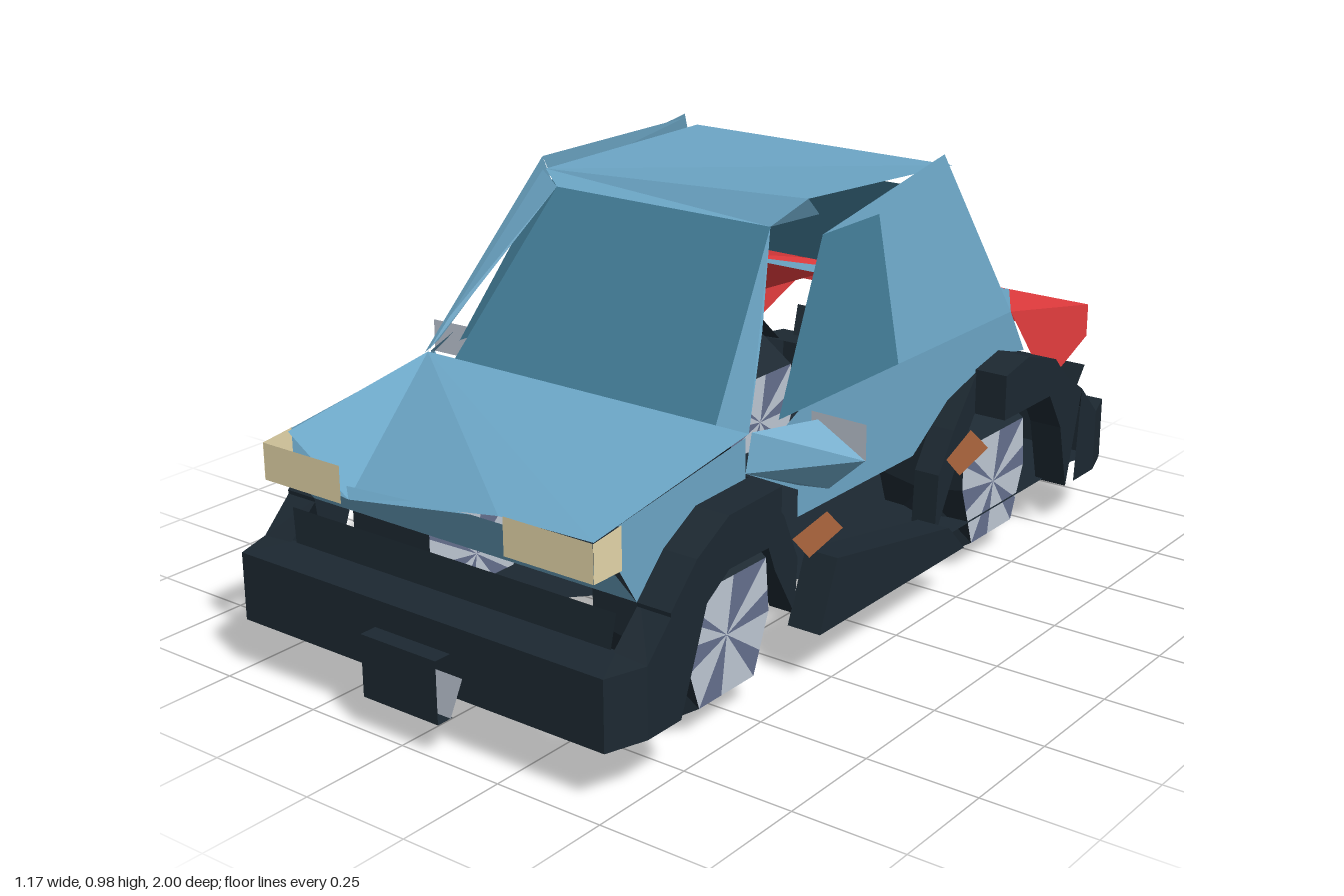
import * as THREE from 'three';

const mat = (name, color) => {
  const m = new THREE.MeshStandardMaterial({ color, flatShading: true, side: THREE.DoubleSide });
  m.name = name;
  return m;
};

export function createModel() {
  const car = new THREE.Group();
  car.name = 'car';
  const blue = mat('body blue', 0x6ca6c6), glass = mat('glass teal', 0x417a94);
  const dark = mat('trim black', 0x1c2831), red = mat('tail red', 0xee3f41);
  const cream = mat('headlight cream', 0xe4d6a9), grey = mat('metal grey', 0xbec7d4);
  const slate = mat('hub slate', 0x65708e), amber = mat('marker amber', 0xb0683f);

  const add = (name, geo, m, parent = car) => {
    const mesh = new THREE.Mesh(geo, m);
    mesh.name = name;
    parent.add(mesh);
  };
  const fromTriangles = (pts) => {
    const g = new THREE.BufferGeometry();
    g.setAttribute('position', new THREE.Float32BufferAttribute(pts.flat(), 3));
    g.computeVertexNormals();
    return g;
  };
  // Flat panel from a convex loop of corners
  const panel = (name, m, ...p) => {
    const tris = [];
    for (let i = 1; i < p.length - 1; i++) tris.push(p[0], p[i], p[i + 1]);
    add(name, fromTriangles(tris), m);
  };
  // Side panel from a [z, y] outline, leaning inward above the waistline
  const sidePanel = (name, m, s, outline, out = 0) => {
    const v = outline.map(([z, y]) => new THREE.Vector2(z, y));
    const at = ([z, y]) => [s * (0.43 + out - Math.max(0, y - 0.58) * 0.18), y, z];
    const tris = THREE.ShapeUtils.triangulateShape(v, []).flat().map((i) => at(outline[i]));
    add(name, fromTriangles(tris), m);
  };
  // Dark trim extruded across x, from inner to outer, on side s, from a [z, y] outline
  const trim = (name, outline, s, inner, outer) => {
    const shape = new THREE.Shape(outline.map(([z, y]) => new THREE.Vector2(-z, y)));
    const g = new THREE.ExtrudeGeometry(shape, { depth: outer - inner, bevelEnabled: false });
    g.rotateY(Math.PI / 2);
    g.translate(s > 0 ? inner : -outer, 0, 0);
    add(name, g, dark);
  };

  // Wheels: tyre with a raised centre ridge and a two-tone hub
  const rim = [[0.14, 0.12], [-0.13, 0.12], [-0.14, 0], [-0.09, -0.125], [0.09, -0.125], [0.14, 0.02]];
  const ridge = [[0.14, 0.19], [-0.14, 0.19], [-0.14, 0], [-0.14, -0.19], [0.14, -0.19], [0.14, 0]];
  const makeWheel = (s, zc) => {
    const wheel = new THREE.Group();
    wheel.name = 'wheel';
    wheel.position.set(s * 0.333, 0.19, zc);
    const at = (x, [z, y]) => [s * x, y, z];
    const tyre = [], light = [], shade = [];
    for (let i = 0; i < 6; i++) {
      const j = (i + 1) % 6;
      for (const x of [-0.112, 0.112]) {
        const a = at(x, rim[i]), b = at(x, rim[j]), c = at(0, ridge[i]), d = at(0, ridge[j]);
        tyre.push(a, b, d, a, d, c);
        const mid = at(x, [rim[i][0] * 0.4 + rim[j][0] * 0.6, rim[i][1] * 0.4 + rim[j][1] * 0.6]);
        const hubCentre = [s * x, 0, 0];
        light.push(hubCentre, a, mid);
        shade.push(hubCentre, mid, b);
      }
    }
    add('tyre', fromTriangles(tyre), dark, wheel);
    add('hubLight', fromTriangles(light), grey, wheel);
    add('hubShade', fromTriangles(shade), slate, wheel);
    car.add(wheel);
  };

  // Floor, open at the front left corner
  panel('floor', dark, [-0.45, 0.125, -0.92], [0.45, 0.125, -0.92], [0.45, 0.125, -0.03], [-0.25, 0.125, 0.75], [-0.45, 0.125, 0.75]);

  // Bumpers and tow plates
  for (const f of [1, -1]) {
    const lipZ = f > 0 ? 0.86 : -0.955, lipBase = f > 0 ? 0.865 : -0.92;
    panel('bumperFace', dark, [-0.48, 0.12, f * 0.96], [0.48, 0.12, f * 0.96], [0.48, 0.27, f * 0.96], [-0.48, 0.27, f * 0.96]);
    panel('bumperTop', dark, [-0.48, 0.27, f * 0.96], [0.48, 0.27, f * 0.96], [0.43, 0.275, f * 0.86], [-0.43, 0.275, f * 0.86]);
    panel('bumperLip', dark, [-0.42, 0.275, lipBase], [0.42, 0.275, lipBase], [0.43, 0.35, lipZ], [-0.43, 0.35, lipZ]);
    panel('bumperUnderside', dark, [-0.48, 0.12, f * 0.96], [0.48, 0.12, f * 0.96], [0.43, 0.12, f * 0.86], [-0.43, 0.12, f * 0.86]);
    for (const s of [1, -1]) {
      panel('bumperCorner', dark, [s * 0.48, 0.12, f * 0.96], [s * 0.51, 0.12, f * 0.87], [s * 0.51, 0.27, f * 0.87], [s * 0.48, 0.27, f * 0.96]);
      panel('bumperCornerTop', dark, [s * 0.48, 0.27, f * 0.96], [s * 0.51, 0.27, f * 0.87], [s * 0.43, 0.275, f * 0.86]);
      panel('bumperSide', dark, [s * 0.51, 0.12, f * 0.87], [s * 0.51, 0.12, f * 0.77], [s * 0.51, 0.35, f * 0.79], [s * 0.51, 0.27, f * 0.87]);
      panel('bumperShoulder', dark, [s * 0.51, 0.27, f * 0.87], [s * 0.51, 0.35, f * 0.79], [s * 0.43, 0.35, f * 0.79], [s * 0.43, 0.275, f * 0.87]);
    }
    panel('towPlate', dark, [-0.1, 0.075, f], [0.1, 0.075, f], [0.1, 0.21, f], [-0.1, 0.21, f]);
    for (const y of [0.075, 0.21]) {
      panel('towPlateEdge', dark, [-0.1, y, f], [0.1, y, f], [0.1, y, f * 0.96], [-0.1, y, f * 0.96]);
    }
    panel('towBracket', grey, [-0.1, 0.075, f * 0.965], [0.1, 0.075, f * 0.965], [0.135, 0.17, f * 0.965], [-0.135, 0.17, f * 0.965]);
  }

  // Hood and nose
  panel('hood', blue, [-0.43, 0.58, 0.45], [0.43, 0.58, 0.45], [0.43, 0.51, 0.92], [0.2, 0.505, 0.92]);
  panel('hoodCorner', blue, [-0.43, 0.58, 0.45], [0.2, 0.505, 0.92], [-0.22, 0.43, 0.9], [-0.43, 0.515, 0.86]);
  panel('noseUpper', blue, [-0.43, 0.425, 0.86], [-0.22, 0.43, 0.9], [0.12, 0.485, 0.91], [0.22, 0.485, 0.91], [0.43, 0.425, 0.86]);
  panel('noseLower', blue, [-0.43, 0.425, 0.86], [0.43, 0.425, 0.86], [0.43, 0.35, 0.8], [-0.43, 0.35, 0.8]);

  for (const s of [1, -1]) {
    makeWheel(s, 0.54);
    makeWheel(s, -0.495);

    // Headlight wrapping the corner
    panel('headlight', cream, [s * 0.215, 0.43, 0.925], [s * 0.432, 0.43, 0.925], [s * 0.432, 0.51, 0.925], [s * 0.215, 0.51, 0.925]);
    panel('headlightSide', cream, [s * 0.433, 0.43, 0.925], [s * 0.433, 0.43, 0.845], [s * 0.433, 0.52, 0.845], [s * 0.433, 0.51, 0.925]);

    // Body sides
    sidePanel('frontFender', blue, s, [[0.85, 0.43], [0.85, 0.52], [0.46, 0.575], [0.46, 0.49], [0.62, 0.48], [0.72, 0.42], [0.8, 0.35]]);
    sidePanel('fenderCorner', blue, s, [[0.46, 0.5], [0.28, 0.58], [0.28, 0.41]]);
    sidePanel('door', blue, s, [[0.28, 0.35], [0.28, 0.58], [-0.57, 0.58], [-0.64, 0.47], [-0.5, 0.49], [-0.41, 0.47], [-0.3, 0.44], [-0.16, 0.35]]);
    sidePanel('sideWindow', glass, s, [[0.35, 0.58], [0.12, 0.9], [-0.09, 0.9], [-0.09, 0.58]]);
    sidePanel('rearQuarter', blue, s, [[-0.09, 0.58], [-0.09, 0.9], [0.12, 0.9], [-0.37, 0.975], [-0.57, 0.58]]);
    sidePanel('tailSide', red, s, [[-0.57, 0.58], [-0.955, 0.505], [-0.955, 0.425], [-0.76, 0.35]]);
    sidePanel('frontMarker', amber, s, [[0.42, 0.37], [0.36, 0.31], [0.24, 0.335], [0.3, 0.39]], 0.085);
    sidePanel('rearMarker', amber, s, [[-0.16, 0.36], [-0.22, 0.305], [-0.34, 0.335], [-0.26, 0.4]], 0.085);

    // Wheel arch flares, inner liners and sill
    trim('frontArch', [[0.77, 0.12], [0.8, 0.35], [0.72, 0.43], [0.62, 0.485], [0.45, 0.49],
      [0.45, 0.375], [0.62, 0.375], [0.69, 0.33], [0.72, 0.25]], s, 0.43, 0.51);
    trim('frontLiner', [[0.45, 0.49], [0.4, 0.45], [0.33, 0.37], [0.28, 0.26], [0.29, 0.14], [0.36, 0.26], [0.4, 0.36], [0.45, 0.375]], s, 0.37, 0.432);
    trim('rearArch', [[-0.42, 0.48], [-0.52, 0.5], [-0.65, 0.46], [-0.71, 0.4], [-0.79, 0.35], [-0.73, 0.12],
      [-0.69, 0.28], [-0.63, 0.375], [-0.42, 0.375]], s, 0.43, 0.51);
    trim('rearLiner', [[-0.26, 0.12], [-0.27, 0.27], [-0.33, 0.36], [-0.42, 0.47], [-0.42, 0.375], [-0.35, 0.28]], s, 0.37, 0.432);
    trim('sill', [[0.31, 0.12], [0.25, 0.27], [-0.19, 0.19], [-0.26, 0.12]], s, 0.43, 0.51);

    // Door mirror: blue wedge housing with a grey rear face
    const tip = [s * 0.585, 0.505, 0.272], foot = [s * 0.43, 0.5, 0.46];
    panel('mirrorFace', grey, [s * 0.585, 0.58, 0.27], [s * 0.585, 0.505, 0.27], [s * 0.45, 0.505, 0.265], [s * 0.45, 0.58, 0.265]);
    panel('mirrorFront', blue, [s * 0.43, 0.58, 0.44], [s * 0.49, 0.58, 0.3], tip, foot);
    panel('mirrorUnderside', blue, foot, tip, [s * 0.505, 0.43, 0.28], [s * 0.43, 0.42, 0.28]);

    // Tail light
    panel('tailLight', red, [s * 0.215, 0.425, -0.955], [s * 0.43, 0.425, -0.955], [s * 0.43, 0.505, -0.955], [s * 0.215, 0.505, -0.955]);
  }

  // Windscreen, pillars and roof
  panel('windscreen', glass, [-0.35, 0.58, 0.45], [0.35, 0.58, 0.45], [0.285, 0.915, 0.18], [-0.285, 0.915, 0.18]);
  panel('leftPillar', blue, [0.43, 0.58, 0.45], [0.35, 0.58, 0.45], [0.285, 0.915, 0.18], [0.36, 0.74, 0.31]);
  panel('rightPillar', blue, [-0.43, 0.58, 0.45], [-0.36, 0.935, 0.14], [-0.285, 0.915, 0.18], [-0.41, 0.65, 0.4]);
  panel('rightPillarSide', blue, [-0.43, 0.58, 0.46], [-0.36, 0.965, 0.14], [-0.365, 0.89, 0.1], [-0.425, 0.6, 0.42]);
  panel('rightRoofFlank', blue, [-0.36, 0.965, 0.14], [-0.365, 0.9, 0.1], [-0.36, 0.965, -0.37]);
  panel('roofFrontEdge', blue, [-0.36, 0.935, 0.13], [0.35, 0.975, 0.14], [0.285, 0.915, 0.18], [-0.285, 0.915, 0.18]);
  panel('roof', blue, [-0.36, 0.935, 0.13], [0.35, 0.975, 0.14], [0.35, 0.94, -0.42], [-0.36, 0.94, -0.42]);
  panel('roofCorner', blue, [0.35, 0.975, 0.14], [0.285, 0.915, 0.18], [0.35, 0.935, 0.1]);

  // Rear window and boot lid
  panel('rearWindow', glass, [-0.34, 0.62, -0.55], [0.34, 0.62, -0.55], [0.29, 0.87, -0.45], [-0.29, 0.87, -0.45]);
  panel('bootLid', blue, [-0.43, 0.58, -0.57], [0.43, 0.58, -0.57], [0.21, 0.505, -0.955]);
  panel('bootLidLeft', red, [0.43, 0.58, -0.57], [0.43, 0.505, -0.955], [0.21, 0.505, -0.955]);
  panel('bootLidRight', red, [-0.43, 0.58, -0.57], [0.21, 0.505, -0.955], [-0.22, 0.505, -0.955], [-0.43, 0.43, -0.78]);

  return car;
}
